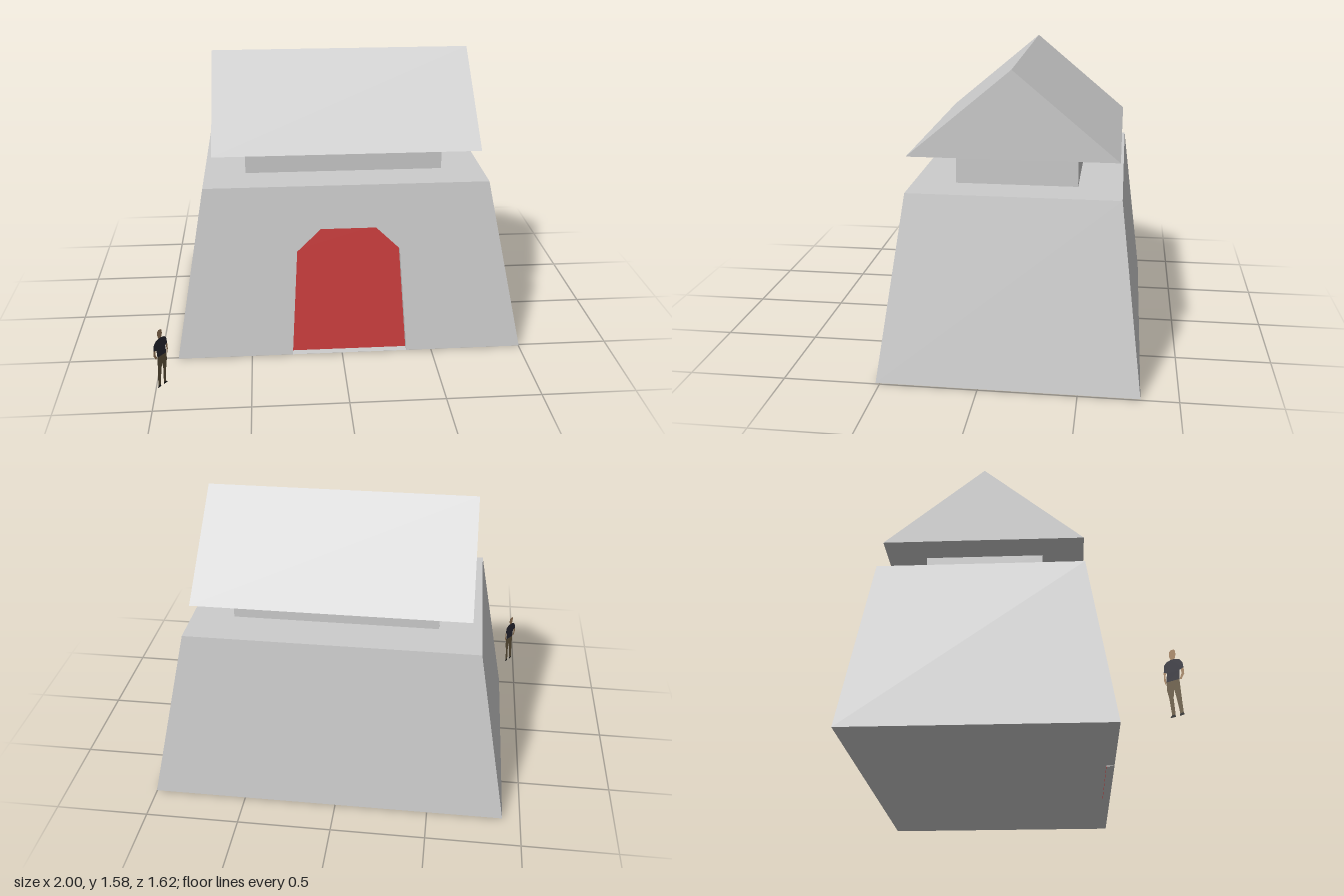
import * as THREE from 'three';

const GREY = new THREE.MeshStandardMaterial({ color: 0xcccccc, flatShading: true, side: THREE.DoubleSide });
const paint = (color) => new THREE.MeshStandardMaterial({ color, side: THREE.DoubleSide });

function add(parent, name, geometry, material = GREY) {
  const mesh = new THREE.Mesh(geometry, material);
  mesh.name = name;
  parent.add(mesh);
  return mesh;
}

// Flat-shaded surface from a list of four-cornered faces, counter-clockwise from outside
function quads(faces) {
  const pos = [];
  for (const [a, b, c, d] of faces) pos.push(...a, ...b, ...c, ...a, ...c, ...d);
  const g = new THREE.BufferGeometry();
  g.setAttribute('position', new THREE.Float32BufferAttribute(pos, 3));
  g.computeVertexNormals();
  return g;
}

const outline = (points) => new THREE.Shape(points.map(([x, y]) => new THREE.Vector2(x, y)));
const flat = (points) => new THREE.ShapeGeometry(outline(points));

export function createModel() {
  const model = new THREE.Group();
  model.name = 'gatehouse';

  // Tapered body: corners run front left, front right, back right, back left
  const ring = (x0, x1, y, z0, z1) => [[x0, y, z1], [x1, y, z1], [x1, y, z0], [x0, y, z0]];
  const low = ring(-0.905, 1.0, 0.01, -0.81, 0.52);
  const high = ring(-0.735, 0.805, 0.96, -0.69, 0.39);
  const faces = [high, [...low].reverse()];
  for (let i = 1; i < 4; i++) {
    const j = (i + 1) % 4;
    faces.push([low[i], low[j], high[j], high[i]]);
  }
  add(model, 'body', quads(faces));

  // Leaning front wall, drawn flat and tilted back
  const front = new THREE.Group();
  front.name = 'front';
  front.position.set(0, 0.01, 0.52);
  front.rotation.x = -Math.atan2(0.13, 0.95);
  model.add(front);
  const slope = Math.hypot(0.13, 0.95) / 0.95;
  const up = ([x, y]) => [x, (y - 0.01) * slope];
  const door = [[-0.275, 0.01], [-0.24, 0.6], [-0.11, 0.722], [0.19, 0.722], [0.32, 0.6], [0.36, 0.01]].map(up);
  const wall = [[-0.905, 0.01], ...[], ...[]].map(up)
    .concat(door, [[1.0, 0.01], [0.805, 0.96], [-0.735, 0.96]].map(up));
  add(front, 'frontWall', flat(wall));

  // Recessed door and the reveal around it
  const recess = 0.042;
  add(front, 'door', flat(door), paint(0xc83c3c)).position.z = -recess;
  add(front, 'doorReveal', quads(door.map((p, i) => {
    const q = door[(i + 1) % door.length];
    return [[...p, 0], [...q, 0], [...q, -recess], [...p, -recess]];
  })));

  // Neck between body and roof
  add(model, 'neck', new THREE.BoxGeometry(1.09, 0.175, 0.63)).position.set(0.035, 1.0475, -0.148);

  // Gabled roof, ridge along x
  const gable = outline([[-0.39, 1.135], [0.675, 1.135], [0.14, 1.58]]);
  const roof = new THREE.ExtrudeGeometry(gable, { depth: 1.435, bevelEnabled: false });
  add(model, 'roof', roof.rotateY(Math.PI / 2)).position.x = -0.68;

  // Flat cut-out of a standing person for scale
  const person = new THREE.Group();
  person.name = 'scaleFigure';
  person.position.set(-0.966, 0, 0.768);
  person.rotation.y = Math.atan2(0.8, 0.6);
  model.add(person);
  const skin = paint(0xa88664), shirt = paint(0x2b2b36), cloth = paint(0x6b5c42), leather = paint(0x222222);

  add(person, 'head', flat([[-0.01, 0.29], [0.012, 0.29], [0.019, 0.312], [0.017, 0.33],
    [0.008, 0.338], [-0.008, 0.338], [-0.016, 0.33], [-0.016, 0.308]]), skin);
  add(person, 'shirt', flat([[-0.027, 0.185], [0.04, 0.185], [0.036, 0.23], [0.052, 0.236], [0.047, 0.272],
    [0.034, 0.284], [0.012, 0.29], [-0.01, 0.29], [-0.036, 0.28], [-0.049, 0.262], [-0.053, 0.236], [-0.03, 0.228]]), shirt);
  add(person, 'rightArm', flat([[-0.053, 0.236], [-0.054, 0.205], [-0.038, 0.18], [-0.028, 0.185], [-0.04, 0.21], [-0.038, 0.231]]), skin);
  add(person, 'leftArm', flat([[0.052, 0.236], [0.054, 0.2], [0.046, 0.175], [0.041, 0.185], [0.044, 0.205], [0.041, 0.233]]), skin);
  add(person, 'trousers', flat([[-0.027, 0.185], [-0.03, 0.12], [-0.036, 0.02], [-0.018, 0.02], [-0.005, 0.1], [0.004, 0.14],
    [0.01, 0.1], [0.006, 0.02], [0.024, 0.02], [0.032, 0.1], [0.042, 0.15], [0.04, 0.185]]), cloth);
  add(person, 'rightShoe', flat([[-0.036, 0.02], [-0.04, 0.009], [-0.014, 0.008], [-0.018, 0.02]]), leather);
  add(person, 'leftShoe', flat([[0.006, 0.02], [0.006, 0.008], [0.036, 0.009], [0.024, 0.02]]), leather);

  return model;
}
